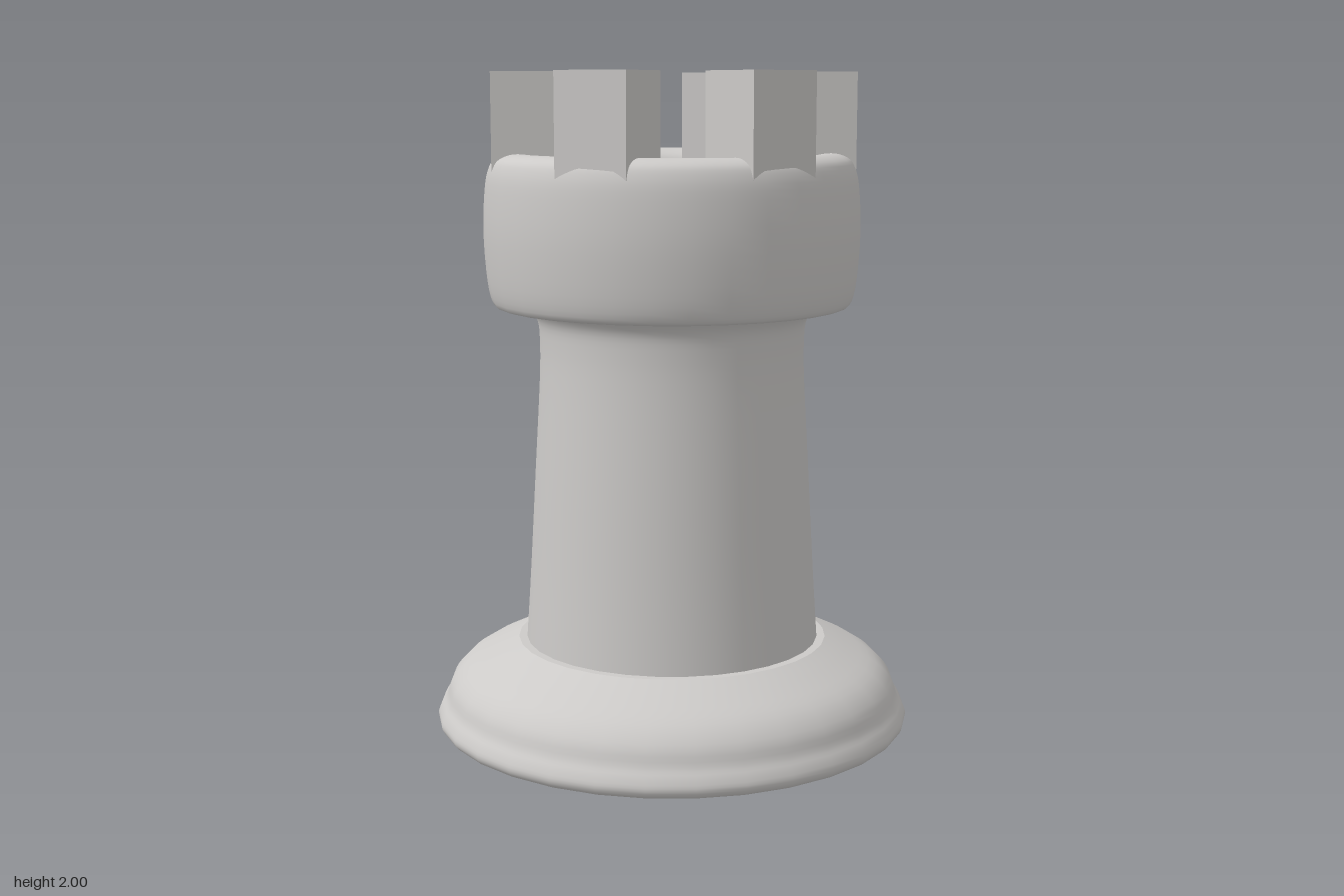
import * as THREE from 'three';

const SEGMENTS = 32;

export function createModel() {
  const group = new THREE.Group();
  const stone = new THREE.MeshStandardMaterial({ color: 0xcccac8 });
  stone.name = 'pale stone';

  const add = (name, geometry) => {
    const mesh = new THREE.Mesh(geometry, stone);
    mesh.name = name;
    group.add(mesh);
    return mesh;
  };

  // Turned part: [radius, height] points from bottom to top, smoothed if steps are given
  const turned = (name, profile, steps = 0) => {
    let points = profile.map(([r, y]) => new THREE.Vector2(r, y));
    if (steps) points = new THREE.SplineCurve(points).getPoints(steps);
    return add(name, new THREE.LatheGeometry(points, SEGMENTS));
  };

  // Flared foot
  turned('footUnderside', [[0, 0.005], [0.66, 0.005]]);
  turned('foot', [
    [0.66, 0.005], [0.71, 0.015], [0.727, 0.04], [0.718, 0.07], [0.70, 0.10],
    [0.682, 0.15], [0.635, 0.20], [0.55, 0.245], [0.475, 0.28],
  ], 28);
  turned('footTop', [[0.475, 0.28], [0.44, 0.28]]);

  // Tapered column, flaring out under the head
  turned('column', [
    [0.45, 0.275], [0.435, 0.50], [0.418, 0.80], [0.402, 1.08],
    [0.40, 1.20], [0.407, 1.265], [0.435, 1.305],
  ], 24);

  // Head with rounded rim and shallow sunken floor
  turned('headUnderside', [[0.42, 1.306], [0.52, 1.306]]);
  turned('head', [
    [0.52, 1.306], [0.54, 1.32], [0.555, 1.39], [0.564, 1.53], [0.558, 1.66],
    [0.545, 1.72], [0.525, 1.748], [0.485, 1.762], [0.435, 1.757],
    [0.40, 1.74], [0.38, 1.71],
  ], 36);
  turned('headFloor', [[0.385, 1.712], [0, 1.712]]);

  // Six battlements around the rim
  for (let i = 0; i < 6; i++) {
    const angle = (i * Math.PI) / 3;
    const block = add('battlement', new THREE.BoxGeometry(0.22, 0.34, 0.22));
    block.position.set(Math.cos(angle) * 0.427, 1.83, Math.sin(angle) * 0.427);
    block.rotation.y = -angle;
  }

  return group;
}
